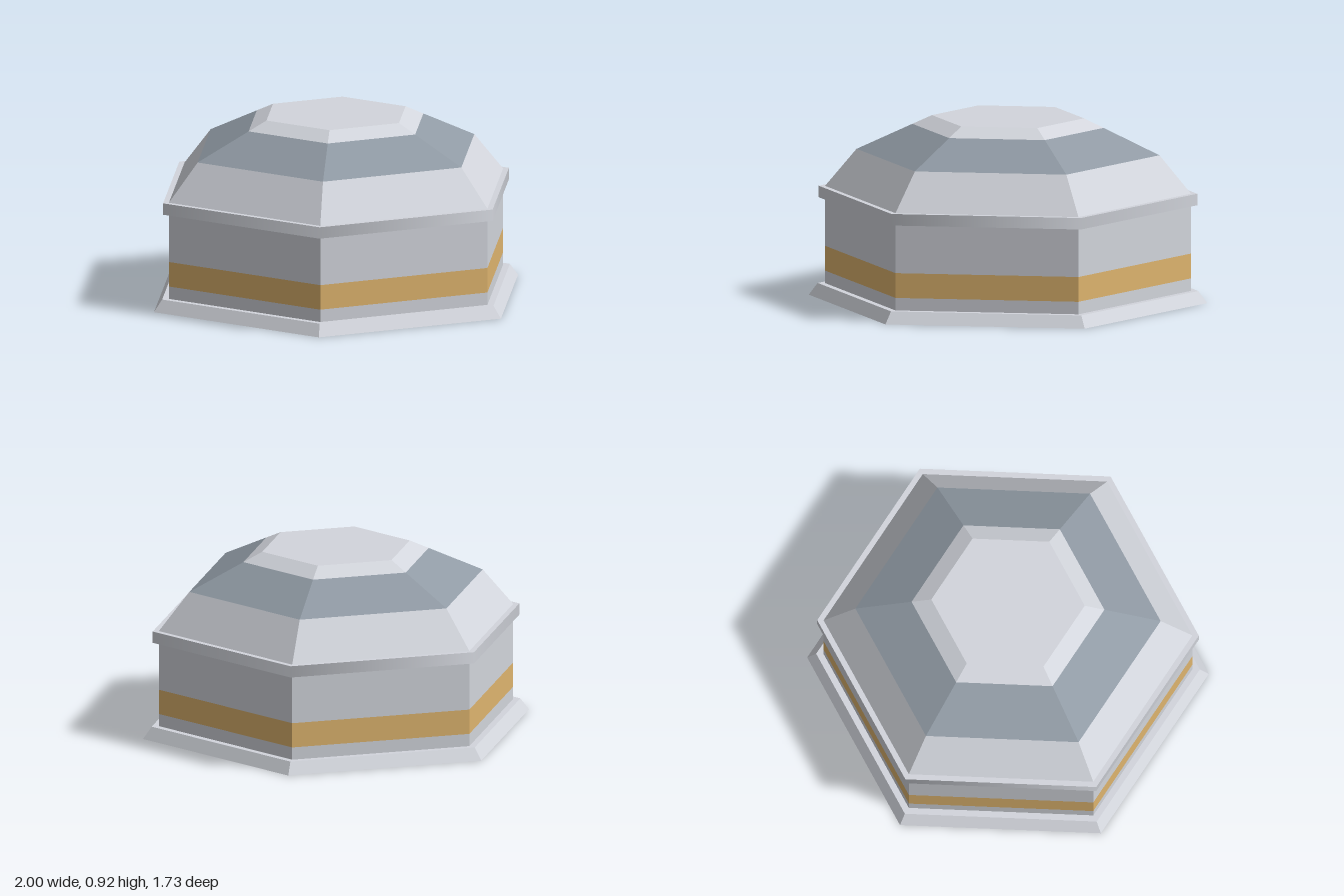
import * as THREE from 'three';

export function createModel() {
  const model = new THREE.Group();
  model.name = 'hexagonalPavilion';

  const paleMetal = new THREE.MeshStandardMaterial({ name: 'pale metal', color: 0xd2d5dc });
  const tintedGlass = new THREE.MeshStandardMaterial({ name: 'tinted glass', color: 0x909aa4 });
  const amber = new THREE.MeshStandardMaterial({ name: 'amber', color: 0xdeb46e });

  // Six-sided ring between two heights, with corners on the x axis
  function hexBand(name, material, rBottom, rTop, y0, y1, { open = true, smooth = false } = {}) {
    let geometry = new THREE.CylinderGeometry(rTop, rBottom, y1 - y0, 6, 1, open, Math.PI / 2);
    if (!smooth) {
      geometry = geometry.toNonIndexed();
      geometry.computeVertexNormals();
    }
    geometry.translate(0, (y0 + y1) / 2, 0);
    const mesh = new THREE.Mesh(geometry, material);
    mesh.name = name;
    model.add(mesh);
  }

  // Plinth and walls with the coloured stripe
  hexBand('plinth', paleMetal, 1, 0.955, 0, 0.06, { open: false });
  hexBand('lowerWall', paleMetal, 0.918, 0.918, 0.06, 0.123);
  hexBand('wallStripe', amber, 0.918, 0.918, 0.123, 0.248);
  hexBand('upperWall', paleMetal, 0.918, 0.918, 0.248, 0.5);

  // Softly shaded rim under the roof
  hexBand('rim', paleMetal, 0.95, 0.95, 0.492, 0.55, { open: false, smooth: true });

  // Faceted roof: steep skirt, window ring and flat-topped cap
  hexBand('roofSkirt', paleMetal, 0.918, 0.76, 0.55, 0.74);
  hexBand('roofWindows', tintedGlass, 0.76, 0.48, 0.74, 0.872);
  hexBand('roofCap', paleMetal, 0.48, 0.382, 0.872, 0.918, { open: false });

  return model;
}
